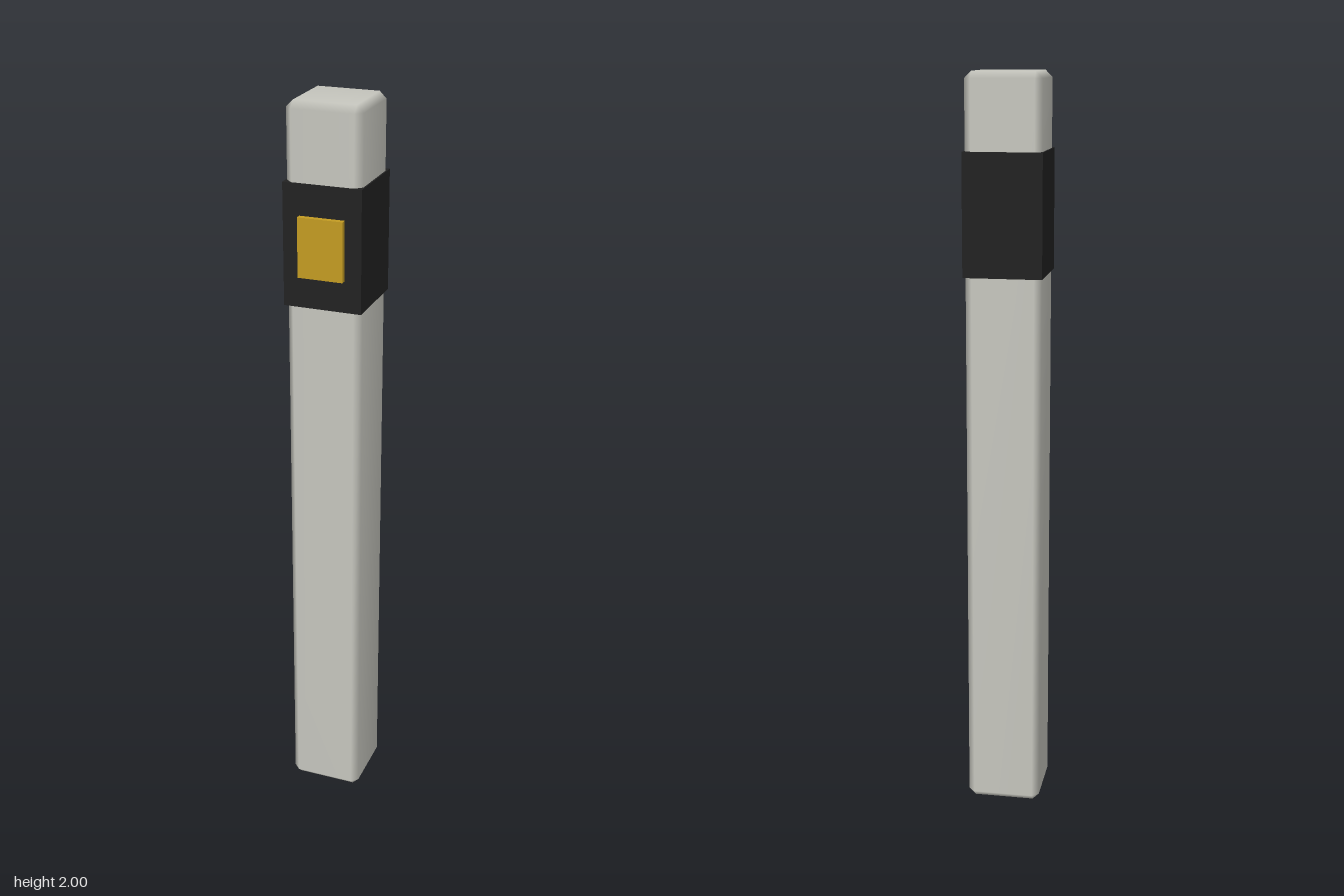
import * as THREE from 'three';
import { mergeVertices } from 'three/addons/utils/BufferGeometryUtils.js';

// Square column with one-step chamfers on every edge and softly smoothed normals
function chamferedColumn(half, height, c) {
  const inner = half - c;
  const rings = [[0, inner], [c, half], [height - c, half], [height, inner]];
  const positions = [];
  for (const [y, reach] of rings) {
    for (let q = 0; q < 4; q++) {
      for (let [x, z] of [[reach, inner], [inner, reach]]) {
        for (let k = 0; k < q; k++) [x, z] = [-z, x];
        positions.push(x, y, z);
      }
    }
  }
  const index = [];
  for (let r = 0; r < 3; r++) {
    for (let j = 0; j < 8; j++) {
      const a = r * 8 + j, b = r * 8 + (j + 1) % 8;
      index.push(a, a + 8, b, b, a + 8, b + 8);
    }
  }
  index.push(0, 2, 4, 0, 4, 6); // bottom cap
  index.push(24, 28, 26, 24, 30, 28); // top cap
  let geometry = new THREE.BufferGeometry();
  geometry.setAttribute('position', new THREE.Float32BufferAttribute(positions, 3));
  geometry.setIndex(index);
  geometry = mergeVertices(geometry);
  geometry.computeVertexNormals();
  return geometry;
}

function material(name, color) {
  const m = new THREE.MeshStandardMaterial({ color });
  m.name = name;
  return m;
}

export function createModel() {
  const group = new THREE.Group();
  group.name = 'roadsidePost';

  const add = (name, geometry, mat, y, z) => {
    const mesh = new THREE.Mesh(geometry, mat);
    mesh.name = name;
    mesh.position.set(0, y, z);
    group.add(mesh);
  };

  // Pale post, dark band around it, amber reflector on the front
  add('post', chamferedColumn(0.1, 2, 0.018), material('paleGrey', 0xc6c6be), 0, -0.008);
  add('band', new THREE.BoxGeometry(0.208, 0.32, 0.208), material('black', 0x222222), 1.642, -0.008);
  add('reflector', new THREE.BoxGeometry(0.12, 0.156, 0.02), material('amber', 0xc49c22), 1.643, 0.101);

  return group;
}
